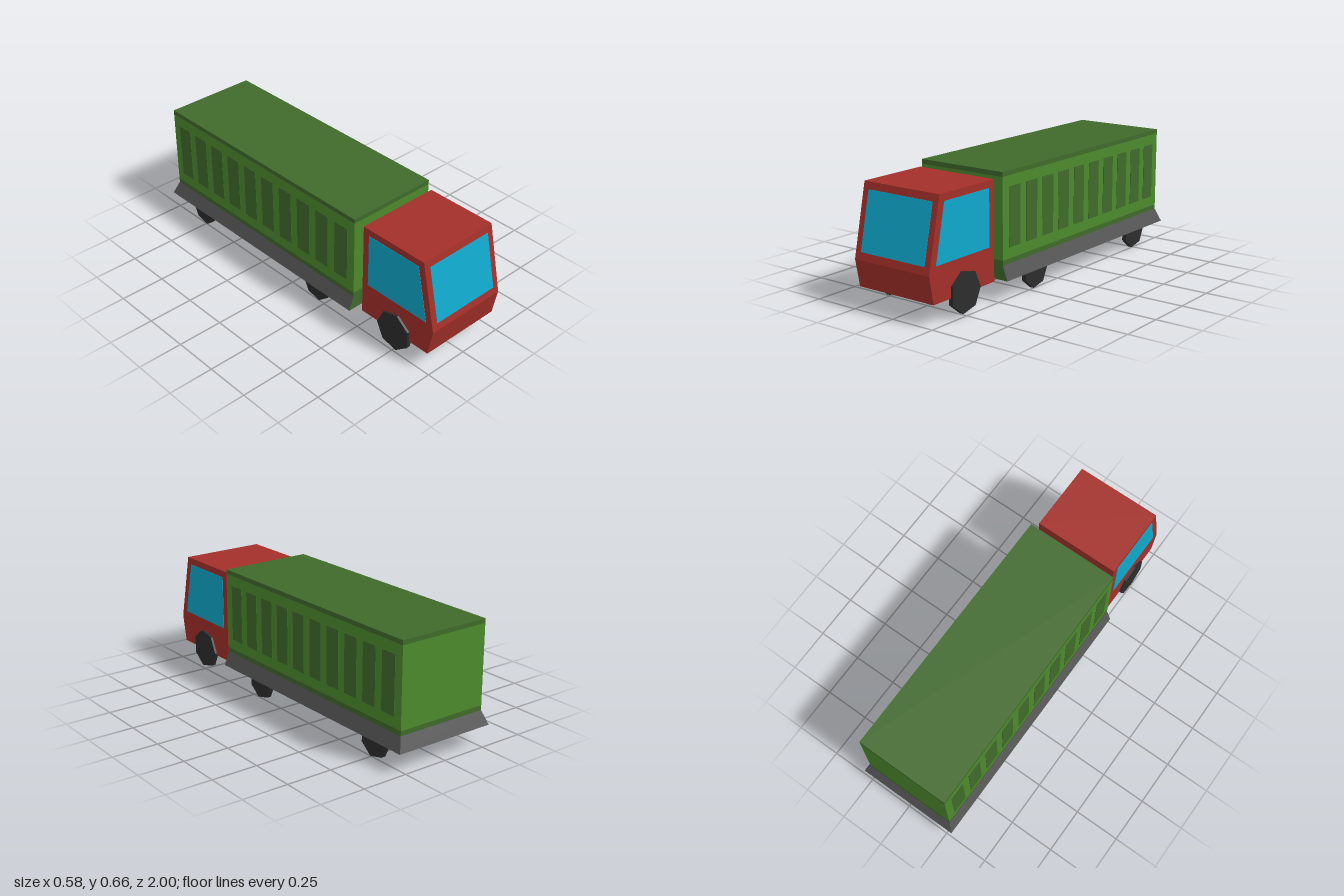
import * as THREE from 'three';

const mat = (color) => new THREE.MeshStandardMaterial({ color, flatShading: true });

export function createModel() {
  const truck = new THREE.Group();
  truck.name = 'truck';
  const red = mat(0xa32f29), glass = mat(0x0fa8cb), green = mat(0x4c8a2c);
  const darkGreen = mat(0x406a2b), grey = mat(0x555555), black = mat(0x2c2c2c);

  const add = (name, geometry, material) => {
    const mesh = new THREE.Mesh(geometry, material);
    mesh.name = name;
    truck.add(mesh);
    return mesh;
  };

  // Box given by its half width and its y and z ranges
  const block = (name, hw, y0, y1, z0, z1, material) => {
    const mesh = add(name, new THREE.BoxGeometry(2 * hw, y1 - y0, z1 - z0), material);
    mesh.position.set(0, (y0 + y1) / 2, (z0 + z1) / 2);
    return mesh;
  };

  // Side profile of [z, y] points, extruded across x from x0 to x1
  const prism = (name, points, x0, x1, material) => {
    const shape = new THREE.Shape(points.map(([z, y]) => new THREE.Vector2(z, y)));
    const geometry = new THREE.ExtrudeGeometry(shape, { depth: x1 - x0, bevelEnabled: false });
    geometry.rotateY(-Math.PI / 2).translate(x1, 0, 0);
    return add(name, geometry, material);
  };

  // Cab with its windows
  const cabW = 0.237;
  prism('cab', [[0.52, 0.112], [0.972, 0.112], [1, 0.257], [0.918, 0.63], [0.52, 0.63]], -cabW, cabW, red);
  const slopeZ = (y) => 1 - (0.082 * (y - 0.257)) / 0.373;
  const w0 = 0.296, w1 = 0.593;
  prism('windscreen', [
    [slopeZ(w0) - 0.01, w0], [slopeZ(w0) + 0.002, w0],
    [slopeZ(w1) + 0.002, w1], [slopeZ(w1) - 0.01, w1],
  ], -0.203, 0.203, glass);
  for (const side of [-1, 1]) {
    const x = side * cabW;
    prism(side > 0 ? 'leftWindow' : 'rightWindow',
      [[0.558, w0], [0.952, w0], [0.887, w1], [0.558, w1]], x - 0.002, x + 0.002, glass);
  }

  // Link between the cab and the container
  block('coupling', 0.115, 0.23, 0.53, 0.475, 0.525, red);

  // Container: light walls between dark rails and roof
  const boxW = 0.26, front = 0.48, back = -0.97;
  block('containerWalls', boxW, 0.213, 0.636, back, front, green);
  block('containerRoof', boxW, 0.636, 0.66, back, front, darkGreen);
  block('containerLowerRail', boxW, 0.187, 0.213, back, front, darkGreen);

  // Dark panels along both sides
  for (const side of [-1, 1]) {
    for (let i = 0; i < 10; i++) {
      const panel = add('sidePanel', new THREE.BoxGeometry(0.004, 0.31, 0.092), darkGreen);
      panel.position.set(side * boxW, 0.425, 0.385 - i * 0.14);
    }
  }

  // Skirt flaring out at the sides and back, with a green front face
  const skirtGeo = new THREE.BoxGeometry(2, 1, 1);
  const p = skirtGeo.attributes.position;
  for (let i = 0; i < p.count; i++) {
    const low = p.getY(i) < 0;
    p.setXYZ(i, p.getX(i) * (low ? 0.288 : boxW), low ? 0.112 : 0.187,
      p.getZ(i) > 0 ? front : low ? -1 : back);
  }
  skirtGeo.computeVertexNormals();
  add('skirt', skirtGeo, [grey, grey, grey, grey, darkGreen, grey]);

  // Seven-sided wheels, and axles under the container
  const disc = (name, r, width, x, y, z) => {
    const mesh = add(name, new THREE.CylinderGeometry(r, r, width, 7, 1, false, Math.PI), black);
    mesh.rotation.z = Math.PI / 2;
    mesh.position.set(x, y, z);
  };
  const wheelSets = [
    ['front', 0.75, 0.123, 0.109],
    ['middle', 0.189, 0.096, 0.097],
    ['rear', -0.763, 0.096, 0.097],
  ];
  for (const [name, z, y, r] of wheelSets) {
    for (const side of [-1, 1]) disc(name + 'Wheel', r, 0.025, side * 0.2375, y, z);
    if (name !== 'front') disc(name + 'Axle', 0.009, 0.46, 0, 0.1, z);
  }

  return truck;
}
